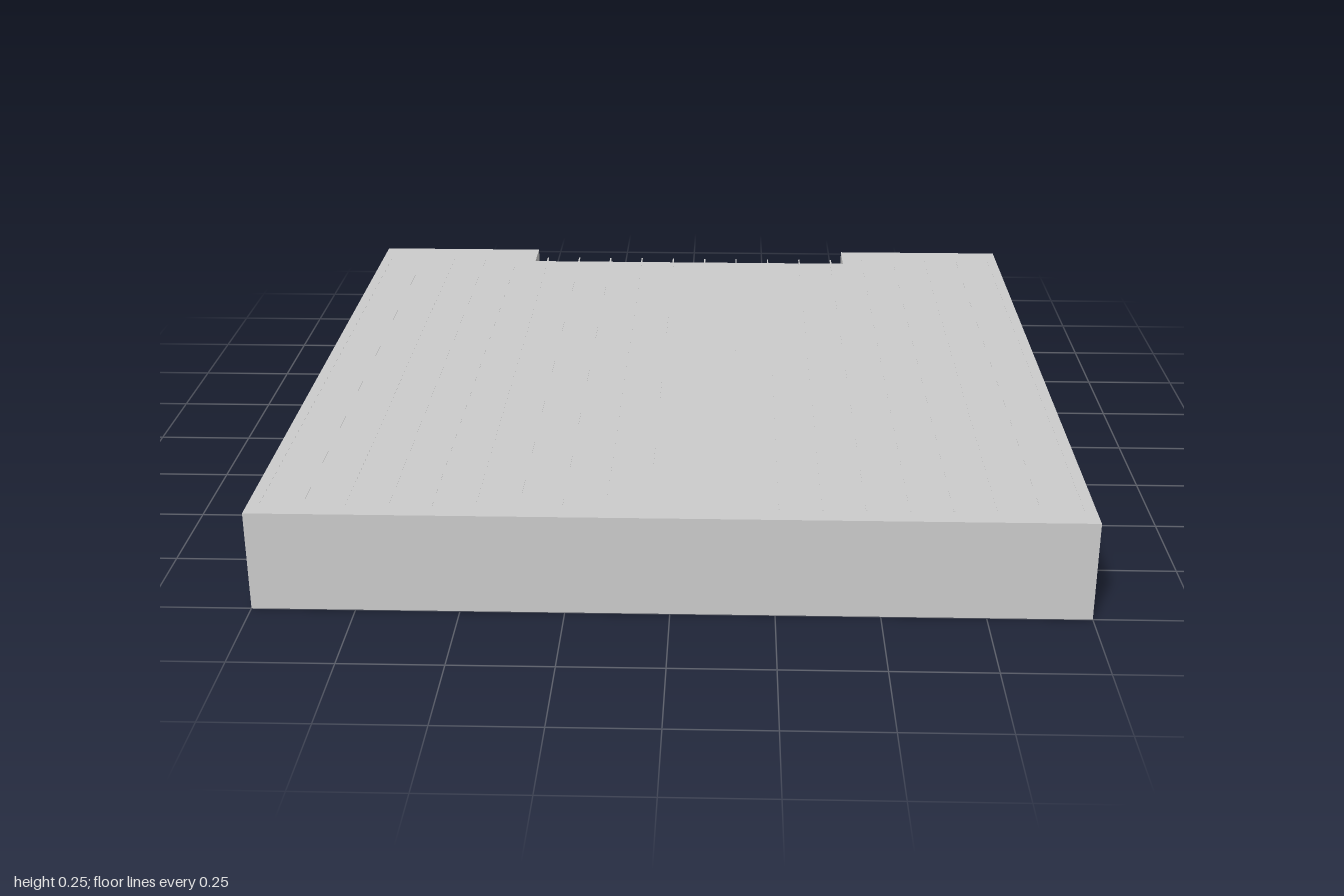
import * as THREE from 'three';
import { mergeGeometries } from 'three/addons/utils/BufferGeometryUtils.js';

const H = 0.252;      // overall height
const T = 0.01;       // wall thickness
const FRONT = -0.88;  // plane of the recessed entrance wall
const material = new THREE.MeshStandardMaterial({ color: 0xcccccc, flatShading: true });

function addMesh(group, name, geometry) {
  const mesh = new THREE.Mesh(geometry, material);
  mesh.name = name;
  group.add(mesh);
  return mesh;
}

function box(w, h, d, x, y, z) {
  return new THREE.BoxGeometry(w, h, d).translate(x, y, z);
}

// Extrude a plan outline given as [x, z] pairs, between two heights
function plan(points, bottom, top) {
  const shape = new THREE.Shape(points.map(([x, z]) => new THREE.Vector2(x, z)));
  return new THREE.ExtrudeGeometry(shape, { depth: top - bottom, bevelEnabled: false })
    .rotateX(Math.PI / 2).translate(0, top, 0);
}

// Slim bar between two points in a plane of constant x
function bar(z0, y0, z1, y1, size) {
  const dz = z1 - z0, dy = y1 - y0;
  return new THREE.BoxGeometry(size, size, Math.hypot(dz, dy))
    .rotateX(-Math.atan2(dy, dz))
    .translate(0, (y0 + y1) / 2, (z0 + z1) / 2);
}

// One roof joist: two chords with a zigzag web
function trussGeometry() {
  const size = 0.004, top = H - 0.0016, low = top - 0.042;
  const z0 = -0.918, z1 = 0.946, bays = 40, step = (z1 - z0) / bays;
  const parts = [bar(z0, top, z1, top, size), bar(z0 + step, low, z1 - step, low, size)];
  for (let i = 0; i < bays; i++) {
    const a = i % 2 ? low : top, b = i % 2 ? top : low;
    parts.push(bar(z0 + i * step, a, z0 + (i + 1) * step, b, size * 0.8));
  }
  return mergeGeometries(parts);
}

export function createModel() {
  const model = new THREE.Group();
  model.name = 'warehouse';

  // Footprint with the entrance recess in the rear side
  const outer = [[0.5, FRONT], [0.5, -1], [1, -1], [1, 1], [-1, 1], [-1, -1], [-0.5, -1], [-0.5, FRONT]];
  const e = 1 - T, r = 0.5 + T;
  const inner = [[-r, FRONT], [-r, -e], [-e, -e], [-e, e], [e, e], [e, -e], [r, -e], [r, FRONT]];
  addMesh(model, 'outerWalls', plan([...outer, ...inner], 0, H));
  const inset = outer.map(([x, z]) => [
    x + (Math.abs(x) === 1 ? -1 : 1) * Math.sign(x) * 0.0005,
    z + (z === 1 ? -0.0005 : 0.0005),
  ]);
  addMesh(model, 'floorSlab', plan(inset, 0, 0.004));
  addMesh(model, 'roofSlab', plan(inset, H - 0.006, H));

  // Entrance wall with two open doorways
  const door = { x0: 0.165, x1: 0.33, h: 0.145 };
  const wall = new THREE.Shape();
  wall.moveTo(-r, 0);
  for (const [a, b] of [[-door.x1, -door.x0], [door.x0, door.x1]]) {
    wall.lineTo(a, 0);
    wall.lineTo(a, door.h);
    wall.lineTo(b, door.h);
    wall.lineTo(b, 0);
  }
  wall.lineTo(r, 0);
  wall.lineTo(r, H);
  wall.lineTo(-r, H);
  addMesh(model, 'entranceWall',
    new THREE.ExtrudeGeometry(wall, { depth: T, bevelEnabled: false }).translate(0, 0, FRONT));

  // Slim storefront mullions and rails
  const frame = [box(2 * door.x0, 0.003, 0.004, 0, 0.075, FRONT - 0.001)];
  for (const s of [-1, 1]) {
    for (const x of [0.083, 0.415]) {
      frame.push(box(0.005, door.h, 0.005, s * x, door.h / 2, FRONT - 0.001));
    }
    for (const x of [door.x0, door.x1]) {
      frame.push(box(0.004, door.h, 0.004, s * x, door.h / 2, FRONT - 0.001));
    }
    frame.push(box(0.5 - door.x1, 0.003, 0.004, s * (0.5 + door.x1) / 2, 0.075, FRONT - 0.001));
  }
  addMesh(model, 'storefrontFrame', mergeGeometries(frame));

  // Roof joists, their ends reaching out over the entrance
  const joists = new THREE.Group();
  joists.name = 'roofJoists';
  const truss = trussGeometry();
  for (let i = 0; i < 20; i++) {
    addMesh(joists, 'roofJoist', truss).position.x = (i - 9.5) * 0.1025;
  }
  model.add(joists);

  return model;
}
